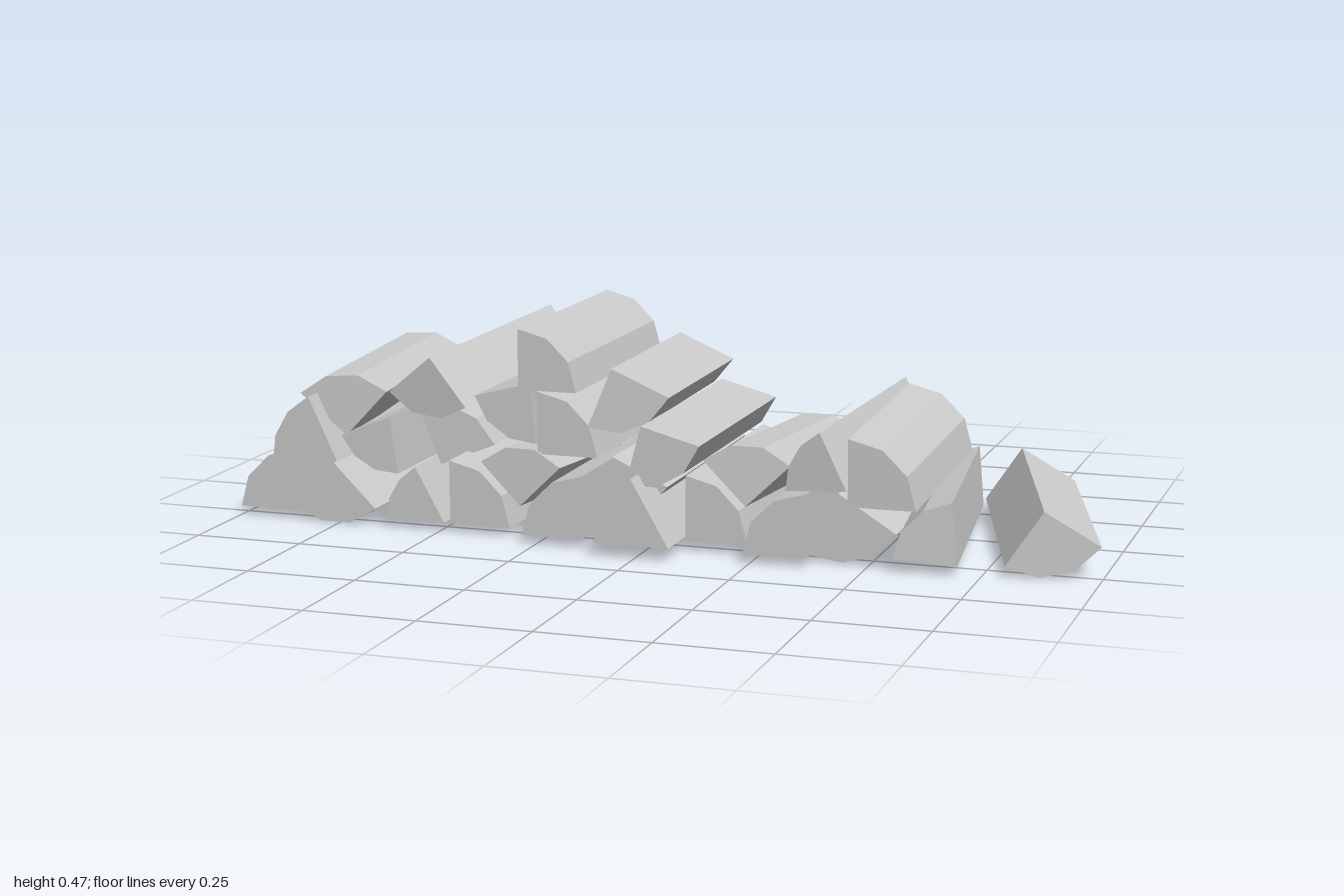
import * as THREE from 'three';

const LENGTH = 0.585;

// Split log: a wedge with its point at the origin and a three-sided bark arc
function wedge(radius, bisector, span) {
  const shape = new THREE.Shape();
  shape.moveTo(0, 0);
  for (let i = 0; i <= 3; i++) {
    const a = THREE.MathUtils.degToRad(bisector + span * (i / 3 - 0.5));
    shape.lineTo(Math.cos(a) * radius, Math.sin(a) * radius);
  }
  const geometry = new THREE.ExtrudeGeometry(shape, { depth: LENGTH, bevelEnabled: false });
  return geometry.translate(0, 0, -LENGTH / 2);
}

// Each log: x, y of the wedge point at the front end, middle z,
// direction of the bark in degrees, radius, span, and drift of the back end in x and y
const bottomRow = [
  [-0.86, 0.02, -0.01, 135],
  [-0.76, 0.14, 0.0, 270, 0.142],
  [-0.49, 0.02, 0.0, 150, 0.142, 62],
  [-0.475, 0.02, 0.0, 45, 0.145],
  [-0.14, 0.02, 0.05, 135],
  [0.08, 0.03, 0.107, 150, 0.172, 60],
  [0.085, 0.03, 0.0, 45, 0.14],
  [0.375, 0.02, 0.06, 135],
  [0.43, 0.155, 0.0, 288, 0.153, 80],
  [0.7, 0.02, 0.03, 135, 0.14, 80, -0.07, 0],
  [0.88, 0.145, 0.0, 282, 0.145, 92, -0.17, 0.012],
];
const middleRow = [
  [-0.72, 0.16, 0.067, 150, 0.16, 70],
  [-0.6, 0.265, 0.04, 240, 0.13, 75],
  [-0.54, 0.13, -0.105, 67, 0.142, 90, -0.02, 0],
  [-0.31, 0.07, -0.01, 90, 0.135, 92, 0.035, -0.025],
  [-0.27, 0.19, -0.02, 45, 0.142],
  [-0.085, 0.2, 0.0, 290, 0.14],
  [0.0, 0.285, 0.055, 300, 0.138],
  [0.215, 0.105, -0.02, 90, 0.138, 92, 0, -0.04],
  [0.455, 0.165, 0.025, 150, 0.14, 68, 0.045, 0.02],
  [0.475, 0.148, 0.088, 45, 0.148, 90, -0.01, 0.012],
];
const topRow = [
  [-0.72, 0.21, 0.015, 93, 0.142, 92, -0.06, 0],
  [-0.525, 0.395, -0.01, 264, 0.14, 90, 0.07, 0.035],
  [-0.285, 0.35, -0.015, 235, 0.137, 80],
  [-0.315, 0.333, -0.022, 45, 0.137],
  [-0.085, 0.398, 0.005, 292, 0.143, 88, -0.035, -0.016],
];

export function createModel() {
  const pile = new THREE.Group();
  pile.name = 'firewoodPile';
  const material = new THREE.MeshStandardMaterial({ color: 0xcccccc, flatShading: true });
  const forward = new THREE.Vector3(0, 0, 1);

  for (const [rowName, logs] of Object.entries({ bottomRow, middleRow, topRow })) {
    const row = new THREE.Group();
    row.name = rowName;
    logs.forEach(([x, y, z, bisector, radius = 0.142, span = 90, dx = 0, dy = 0], i) => {
      const log = new THREE.Mesh(wedge(radius, bisector, span), material);
      log.name = `splitLog${i + 1}`;
      log.position.set(x + dx / 2, y + dy / 2, z);
      const axis = new THREE.Vector3(-dx, -dy, LENGTH).normalize();
      log.quaternion.setFromUnitVectors(forward, axis);
      row.add(log);
    });
    pile.add(row);
  }
  return pile;
}
